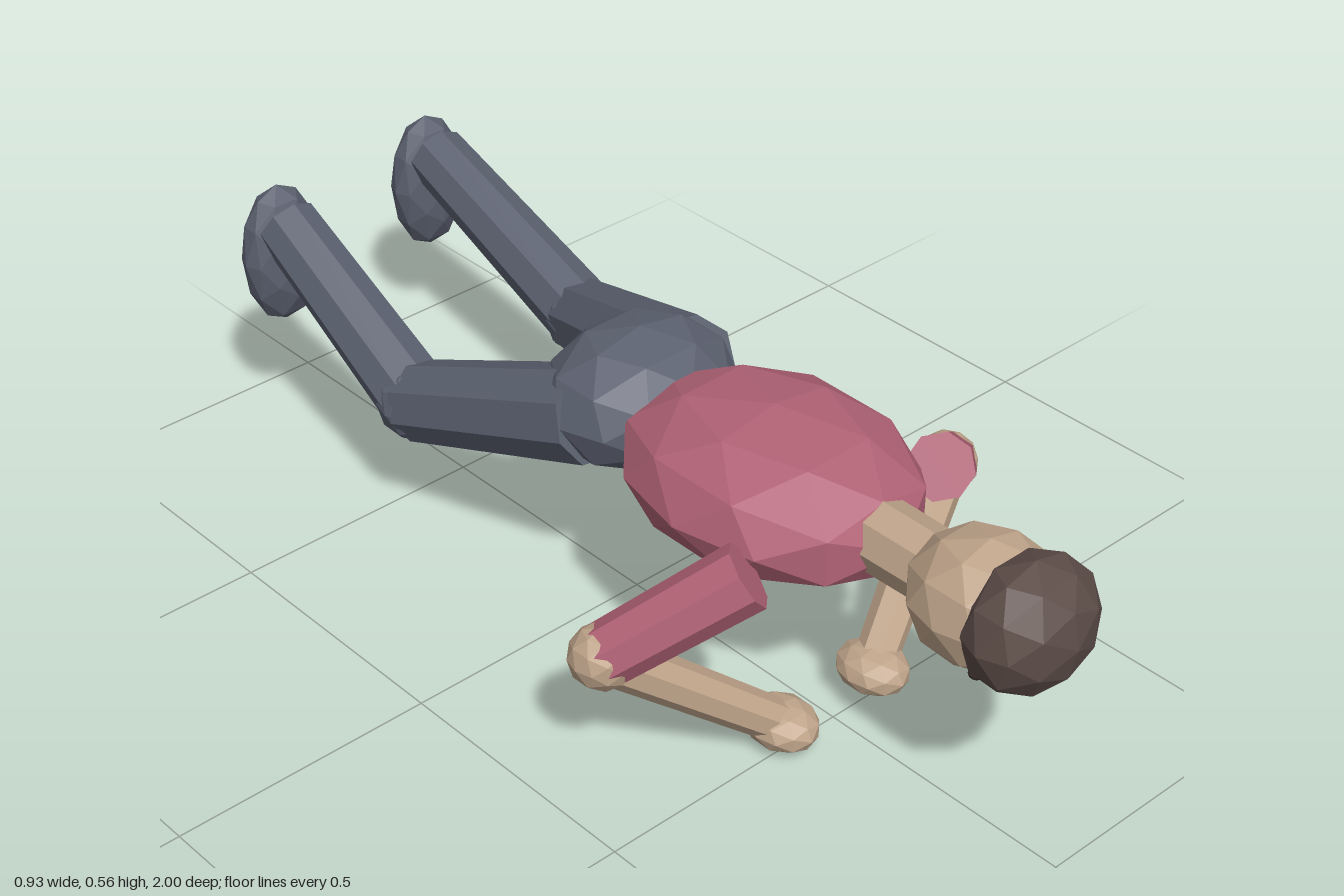
import * as THREE from 'three';

const mat = (name, color) => {
  const m = new THREE.MeshStandardMaterial({ color, flatShading: true });
  m.name = name;
  return m;
};

export function createModel() {
  const root = new THREE.Group();
  root.name = 'lyingFigure';
  const shirt = mat('shirt rose', 0xb06275);
  const skin = mat('skin tan', 0xbfa48a);
  const trousers = mat('trouser slate', 0x5c6170);
  const hair = mat('hair brown', 0x5c4c47);
  const dark = mat('eye dark', 0x3a302c);

  // Faceted ellipsoid
  const blob = (parent, name, material, pos, radii, detail = 1) => {
    const mesh = new THREE.Mesh(new THREE.IcosahedronGeometry(1, detail), material);
    mesh.name = name;
    mesh.position.set(...pos);
    mesh.scale.set(...radii);
    parent.add(mesh);
  };

  // Tapered eight-sided limb between two points
  const limb = (parent, name, material, from, to, r0, r1) => {
    const a = new THREE.Vector3(...from), b = new THREE.Vector3(...to);
    const dir = b.clone().sub(a);
    const mesh = new THREE.Mesh(new THREE.CylinderGeometry(r1, r0, dir.length(), 8), material);
    mesh.name = name;
    mesh.position.copy(a).add(b).multiplyScalar(0.5);
    mesh.quaternion.setFromUnitVectors(new THREE.Vector3(0, 1, 0), dir.normalize());
    parent.add(mesh);
  };

  // Trunk
  blob(root, 'torso', shirt, [0, 0.427, 0.335], [0.227, 0.139, 0.295]);
  blob(root, 'hips', trousers, [0, 0.433, 0.008], [0.185, 0.13, 0.156]);

  // Head, face down
  const head = new THREE.Group();
  head.name = 'head';
  root.add(head);
  limb(head, 'neck', skin, [0, 0.437, 0.56], [0, 0.437, 0.74], 0.065, 0.063);
  blob(head, 'skull', skin, [0, 0.437, 0.808], [0.122, 0.116, 0.136]);
  blob(head, 'hairCap', hair, [0, 0.443, 0.9], [0.127, 0.119, 0.096]);
  for (const s of [-1, 1]) blob(head, 'eye', dark, [s * 0.04, 0.328, 0.835], [0.014, 0.014, 0.014]);

  // Arms, mirrored
  for (const s of [-1, 1]) {
    const arm = new THREE.Group();
    arm.name = s > 0 ? 'leftArm' : 'rightArm';
    root.add(arm);
    const elbow = [s * 0.405, 0.275, 0.365], hand = [s * 0.11, 0.045, 0.485];
    limb(arm, 'upperArm', shirt, [s * 0.222, 0.425, 0.508], elbow, 0.06, 0.055);
    blob(arm, 'elbow', skin, elbow, [0.058, 0.058, 0.058]);
    limb(arm, 'forearm', skin, elbow, hand, 0.044, 0.038);
    blob(arm, 'hand', skin, hand, [0.06, 0.042, 0.072]);
  }

  // Legs, each with its own pose
  const legs = [
    { name: 'leftLeg', hip: [0.125, 0.425, 0], knee: [0.262, 0.262, -0.44], ankle: [0.283, 0.418, -0.91], foot: [0.284, 0.345, -0.942] },
    { name: 'rightLeg', hip: [-0.105, 0.425, 0], knee: [-0.168, 0.278, -0.41], ankle: [-0.157, 0.475, -0.8], foot: [-0.156, 0.402, -0.828] },
  ];
  for (const { name, hip, knee, ankle, foot } of legs) {
    const leg = new THREE.Group();
    leg.name = name;
    root.add(leg);
    limb(leg, 'thigh', trousers, hip, knee, 0.09, 0.076);
    blob(leg, 'knee', trousers, knee, [0.075, 0.075, 0.075]);
    limb(leg, 'shin', trousers, knee, ankle, 0.07, 0.06);
    blob(leg, 'foot', trousers, foot, [0.082, 0.145, 0.057]);
  }
  return root;
}
